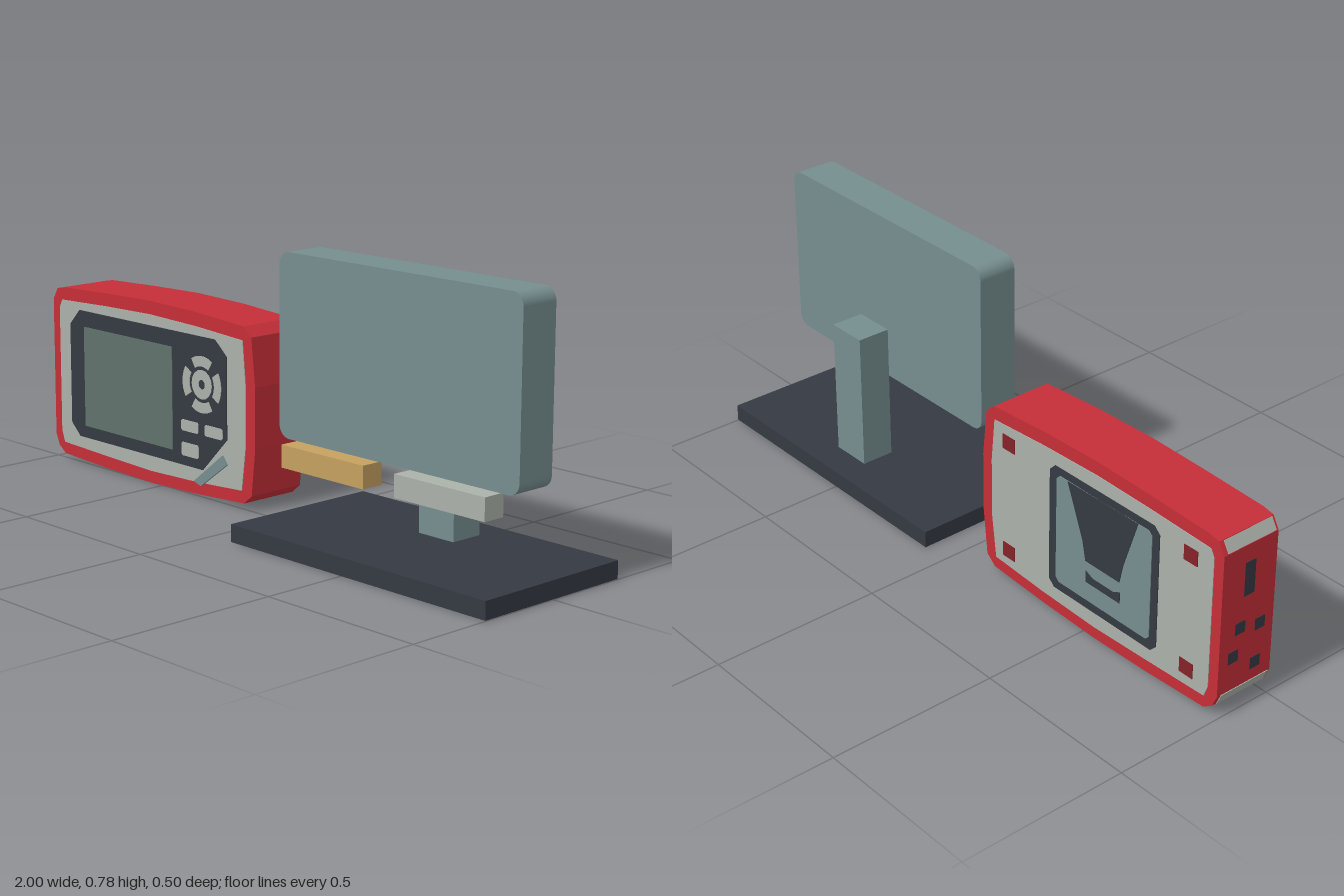
import * as THREE from 'three';

const mat = (name, color) => {
  const m = new THREE.MeshStandardMaterial({ color });
  m.name = name;
  return m;
};

export function createModel() {
  const red = mat('red rubber', 0xc62f38);
  const darkRed = mat('dark red', 0x842329);
  const grey = mat('light grey', 0xabb2aa);
  const dark = mat('charcoal', 0x353a43);
  const teal = mat('grey teal', 0x768e8f);
  const gold = mat('tan', 0xc6a060);
  const glass = mat('screen green', 0x60726b);

  const root = new THREE.Group();
  const handheld = new THREE.Group();
  handheld.name = 'handheldUnit';
  const display = new THREE.Group();
  display.name = 'deskDisplay';
  root.add(handheld, display);

  const polygon = (pts) => new THREE.Shape(pts.map(([x, y]) => new THREE.Vector2(x, y)));
  const rect = (x0, x1, y0, y1, c = 0) => polygon(c
    ? [[x0 + c, y0], [x1 - c, y0], [x1, y0 + c], [x1, y1 - c], [x1 - c, y1], [x0 + c, y1], [x0, y1 - c], [x0, y0 + c]]
    : [[x0, y0], [x1, y0], [x1, y1], [x0, y1]]);

  // Extrudes an outline between two depths
  function slab(parent, name, shape, z0, z1, material) {
    const g = new THREE.ExtrudeGeometry(shape, { depth: z1 - z0, bevelEnabled: false, curveSegments: 8 });
    const mesh = new THREE.Mesh(g, material);
    mesh.name = name;
    mesh.position.z = z0;
    parent.add(mesh);
    return mesh;
  }
  function box(parent, name, x0, x1, y0, y1, z0, z1, material) {
    const mesh = new THREE.Mesh(new THREE.BoxGeometry(x1 - x0, y1 - y0, z1 - z0), material);
    mesh.name = name;
    mesh.position.set((x0 + x1) / 2, (y0 + y1) / 2, (z0 + z1) / 2);
    parent.add(mesh);
    return mesh;
  }

  // Handheld housing with gently bowed top and bottom
  slab(handheld, 'housing', polygon([
    [-1, 0.49], [-1, 0.07], [-0.985, 0.035], [-0.955, 0.014], [-0.74, 0.004], [-0.545, 0], [-0.34, 0.006],
    [-0.137, 0.018], [-0.105, 0.045], [-0.09, 0.185], [-0.09, 0.36], [-0.105, 0.5], [-0.137, 0.527],
    [-0.34, 0.54], [-0.545, 0.545], [-0.74, 0.54], [-0.945, 0.532], [-0.98, 0.525],
  ]), -0.179, 0.007, red);

  // Front and back cover plates
  const cover = [
    [-0.968, 0.47], [-0.968, 0.085], [-0.955, 0.05], [-0.74, 0.042], [-0.545, 0.036], [-0.34, 0.042],
    [-0.145, 0.054], [-0.128, 0.185], [-0.128, 0.36], [-0.14, 0.487],
    [-0.34, 0.499], [-0.545, 0.505], [-0.74, 0.501], [-0.955, 0.493],
  ];
  slab(handheld, 'frontCover', polygon(cover), 0.005, 0.009, grey);
  slab(handheld, 'backCover', polygon(cover), -0.181, -0.177, grey);

  // Control panel and screen
  slab(handheld, 'controlPanel', polygon([
    [-0.915, 0.12], [-0.875, 0.083], [-0.31, 0.083], [-0.205, 0.19],
    [-0.205, 0.43], [-0.255, 0.473], [-0.87, 0.473], [-0.915, 0.425],
  ]), 0.006, 0.011, dark);
  slab(handheld, 'screen', rect(-0.847, -0.44, 0.12, 0.425), 0.009, 0.013, glass);

  // Direction pad: four curved keys around a ring
  const cx = -0.31, cy = 0.334;
  for (let i = 0; i < 4; i++) {
    const mid = i * Math.PI / 2, half = 0.56;
    const key = new THREE.Shape();
    key.absarc(cx, cy, 0.083, mid - half, mid + half, false);
    key.absarc(cx, cy, 0.053, mid + half, mid - half, true);
    slab(handheld, 'directionKey', key, 0.009, 0.013, grey);
  }
  const ring = new THREE.Shape();
  ring.absarc(cx, cy, 0.043, 0, Math.PI * 2, false);
  const hole = new THREE.Path();
  hole.absarc(cx, cy, 0.014, 0, Math.PI * 2, true);
  ring.holes.push(hole);
  slab(handheld, 'selectKey', ring, 0.009, 0.013, grey);

  // Small keys and the slanted clip
  for (const [x0, x1, y0, y1] of [[-0.401, -0.326, 0.186, 0.219], [-0.299, -0.222, 0.186, 0.219], [-0.401, -0.326, 0.112, 0.152]])
    slab(handheld, 'key', rect(x0, x1, y0, y1, 0.005), 0.009, 0.013, grey);
  slab(handheld, 'slantedClip', polygon([[-0.345, 0.045], [-0.315, 0.035], [-0.202, 0.118], [-0.222, 0.142]]), 0.007, 0.015, teal);

  // Back: framed bay with a tapered recess and slot
  slab(handheld, 'bayFrame', rect(-0.78, -0.366, 0.083, 0.462, 0.02), -0.183, -0.178, dark);
  slab(handheld, 'bayPanel', rect(-0.755, -0.395, 0.11, 0.44, 0.012), -0.185, -0.18, teal);
  slab(handheld, 'bayRecess', polygon([
    [-0.705, 0.44], [-0.655, 0.29], [-0.642, 0.232], [-0.513, 0.232], [-0.5, 0.29], [-0.44, 0.44],
  ]), -0.187, -0.182, dark);
  slab(handheld, 'baySlot', polygon([
    [-0.645, 0.168], [-0.515, 0.168], [-0.515, 0.202], [-0.54, 0.19], [-0.62, 0.19], [-0.645, 0.202],
  ]), -0.187, -0.182, dark);
  for (const x of [-0.2, -0.89])
    for (const y of [0.1, 0.44])
      slab(handheld, 'screwPad', rect(x - 0.024, x + 0.024, y - 0.022, y + 0.022), -0.183, -0.178, darkRed);

  // Ports on the end: y, z, height, width
  for (const [y, z, h, w] of [[0.39, -0.085, 0.1, 0.036], [0.25, -0.11, 0.035, 0.035], [0.235, -0.04, 0.035, 0.035],
    [0.17, -0.13, 0.035, 0.035], [0.12, -0.05, 0.035, 0.035]])
    box(handheld, 'endPort', -1.001, -0.996, y - h / 2, y + h / 2, z - w / 2, z + w / 2, dark);

  // Ports underneath
  box(handheld, 'bottomPort', -0.39, -0.27, 0.001, 0.008, -0.065, -0.035, dark).rotation.z = 0.04;
  box(handheld, 'bottomPort', -0.55, -0.51, -0.001, 0.004, -0.07, -0.04, dark);

  // Grey strips on the end corners
  for (const [x, y, angle] of [[-0.99, 0.5075, 1.05], [-0.9925, 0.0525, -1.166]]) {
    const strip = box(handheld, 'cornerStrip', -0.018, 0.018, -0.002, 0.002, -0.165, 0, grey);
    strip.position.x = x;
    strip.position.y = y;
    strip.rotation.z = angle;
  }

  // Desk display: base, column and rounded body
  box(display, 'base', 0.08, 1, 0, 0.05, -0.25, 0.25, dark);
  box(display, 'column', 0.48, 0.605, 0.05, 0.46, -0.16, -0.06, teal);
  const body = new THREE.Shape();
  const L = 0.11, R = 0.968, B = 0.272, T = 0.78, r = 0.036;
  body.absarc(R - r, B + r, r, -Math.PI / 2, 0, false);
  body.absarc(R - r, T - r, r, 0, Math.PI / 2, false);
  body.absarc(L + r, T - r, r, Math.PI / 2, Math.PI, false);
  body.absarc(L + r, B + r, r, Math.PI, Math.PI * 1.5, false);
  slab(display, 'displayBody', body, -0.02, 0.1, teal);

  // Blocks hanging under the front edge
  box(display, 'rightBlock', 0.175, 0.483, 0.208, 0.271, 0.086, 0.154, gold);
  box(display, 'leftBlock', 0.595, 0.905, 0.208, 0.271, 0.086, 0.154, grey);

  return root;
}
